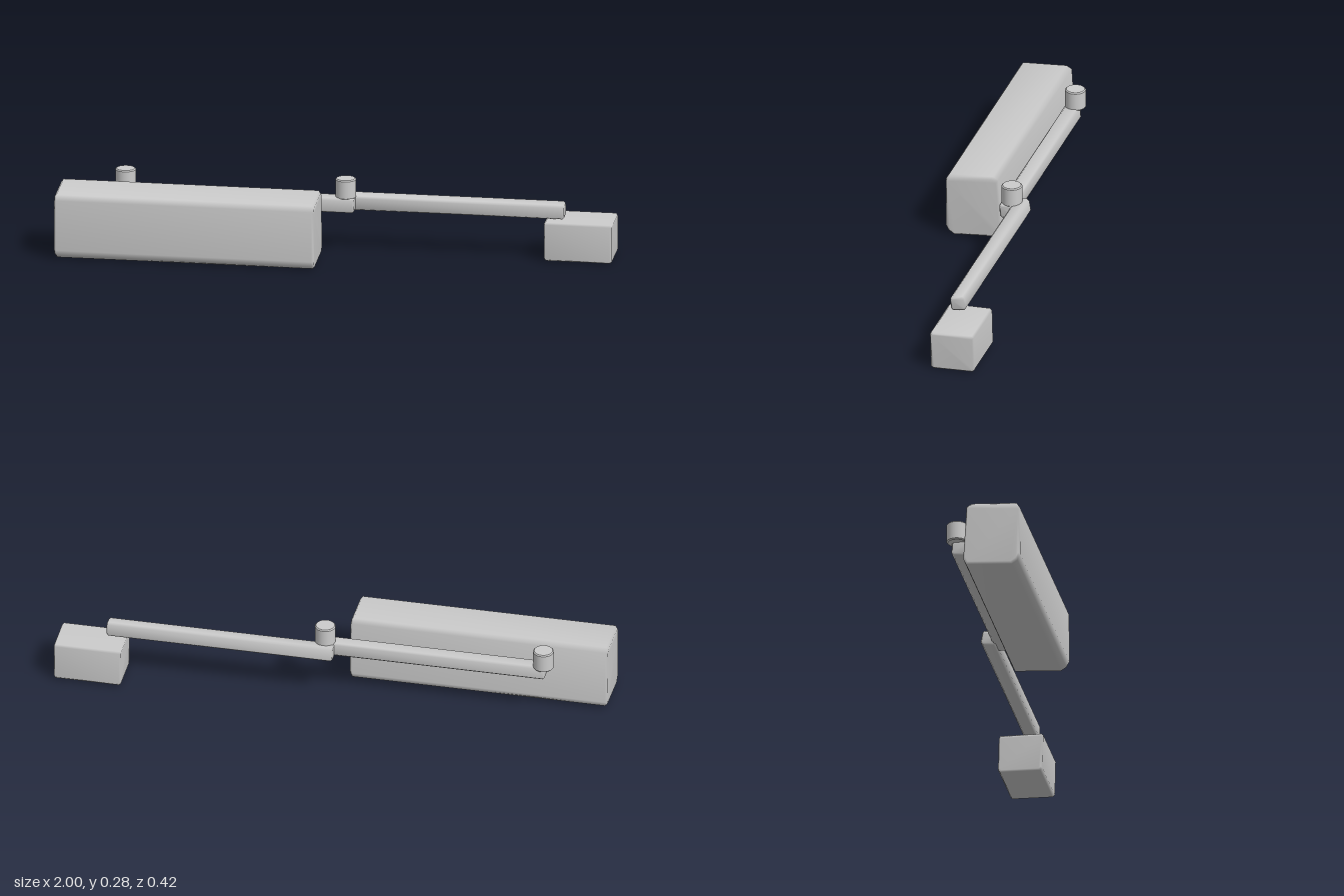
import * as THREE from 'three';

const grey = new THREE.MeshStandardMaterial({ color: 0xcccccc });
grey.name = 'plain grey';

// Bar along x with a worn, bevelled outline [z, y] and slightly inset ends
function bar(name, x0, x1, bevel, outline) {
  const n = outline.length;
  const cz = outline.reduce((s, p) => s + p[0], 0) / n;
  const cy = outline.reduce((s, p) => s + p[1], 0) / n;
  const halfZ = Math.max(...outline.map((p) => Math.abs(p[0] - cz)));
  const k = 1 - bevel / halfZ;
  const rings = [[x0, k], [x0 + bevel, 1], [x1 - bevel, 1], [x1, k]];
  const pos = [];
  const index = [];
  for (const [x, s] of rings) {
    for (const [z, y] of outline) pos.push(x, cy + (y - cy) * s, cz + (z - cz) * s);
  }
  // Side strips
  for (let r = 0; r < rings.length - 1; r++) {
    for (let i = 0; i < n; i++) {
      const j = (i + 1) % n;
      const a = r * n + i, b = r * n + j, c = a + n, d = b + n;
      index.push(a, c, b, b, c, d);
    }
  }
  // End caps
  const last = (rings.length - 1) * n;
  for (let i = 1; i < n - 1; i++) {
    index.push(0, i, i + 1, last, last + i + 1, last + i);
  }
  const g = new THREE.BufferGeometry();
  g.setAttribute('position', new THREE.Float32BufferAttribute(pos, 3));
  g.setIndex(index);
  g.computeVertexNormals();
  const mesh = new THREE.Mesh(g, grey);
  mesh.name = name;
  return mesh;
}

// Upright pivot pin with a small bevelled rim
function pin(name, x, z) {
  const r = 0.0375, h = 0.073, b = 0.004;
  const profile = [[0, 0], [r - b, 0], [r - b, 0], [r, b], [r, b], [r, h - b], [r, h - b], [r - b, h], [r - b, h], [0, h]]
    .map(([px, py]) => new THREE.Vector2(px, py));
  const mesh = new THREE.Mesh(new THREE.LatheGeometry(profile, 32), grey);
  mesh.position.set(x, 0.202, z);
  mesh.name = name;
  return mesh;
}

export function createModel() {
  const model = new THREE.Group();
  model.name = 'hingedArmMechanism';

  // Outlines run from the front top edge over the top, down the back and round the bottom
  model.add(bar('mainBody', -1, -0.05, 0.008, [
    [0.21, 0.222], [0.197, 0.242], [0.033, 0.253], [0.013, 0.241],
    [0.001, 0.035], [0.011, 0.014], [0.18, 0.001], [0.2, 0.014], [0.211, 0.035],
  ]));
  model.add(bar('endBlock', 0.753, 1, 0.006, [
    [-0.043, 0.138], [-0.051, 0.145], [-0.2, 0.148], [-0.207, 0.141],
    [-0.21, 0.014], [-0.203, 0.005], [-0.055, 0], [-0.046, 0.007],
  ]));

  // Two link arms overlapping at the middle pin
  model.add(bar('firstArm', -0.785, 0.06, 0.006, [
    [-0.024, 0.2], [-0.032, 0.207], [-0.075, 0.209], [-0.081, 0.202],
    [-0.084, 0.165], [-0.076, 0.157], [-0.036, 0.152], [-0.027, 0.16],
  ]));
  model.add(bar('secondArm', -0.01, 0.823, 0.006, [
    [-0.066, 0.197], [-0.074, 0.206], [-0.112, 0.211], [-0.12, 0.203],
    [-0.126, 0.167], [-0.118, 0.157], [-0.078, 0.152], [-0.069, 0.158],
  ]));

  model.add(pin('outerPin', -0.78, -0.0635));
  model.add(pin('middlePin', 0.026, -0.0635));
  return model;
}
